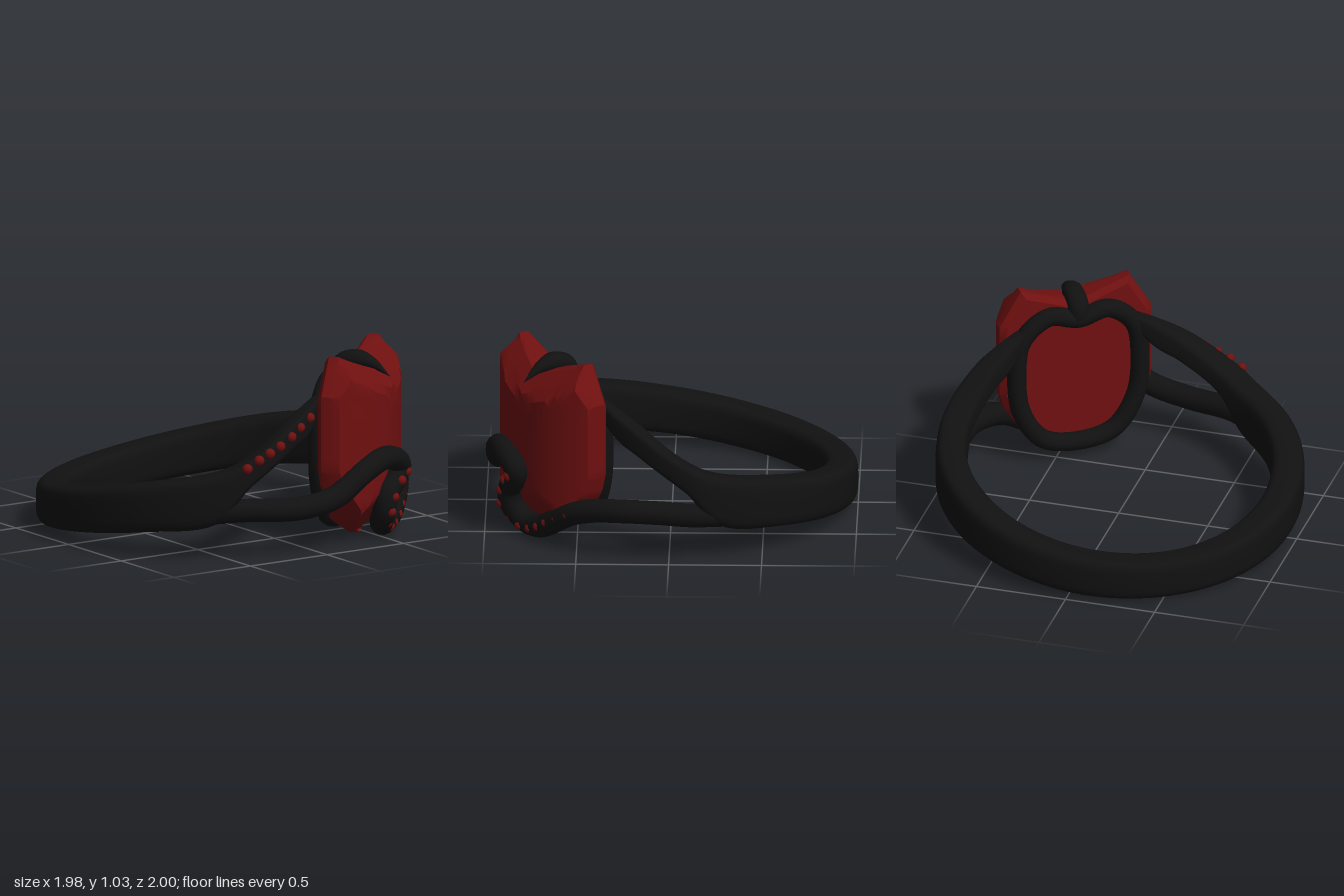
import * as THREE from 'three';
import { toCreasedNormals } from 'three/addons/utils/BufferGeometryUtils.js';

const V = (x, y, z) => new THREE.Vector3(x, y, z);

// Skin a list of equally long closed cross-sections
function loft(sections) {
  const n = sections[0].length, pos = [], idx = [];
  sections.forEach(s => s.forEach(p => pos.push(p.x, p.y, p.z)));
  for (let i = 0; i < sections.length - 1; i++) {
    for (let j = 0; j < n; j++) {
      const a = i * n + j, b = i * n + (j + 1) % n;
      idx.push(a, b, a + n, b, b + n, a + n);
    }
  }
  const g = new THREE.BufferGeometry();
  g.setAttribute('position', new THREE.Float32BufferAttribute(pos, 3));
  g.setIndex(idx);
  g.computeVertexNormals();
  return g;
}

// Band that thins into the two upper shoulders; keys: angle, radius, y, half depth, half height
function bandGeometry() {
  const half = [
    [26, 0.75, 0.78, 0.035, 0.05], [35, 0.775, 0.7, 0.055, 0.075], [45, 0.815, 0.625, 0.07, 0.075],
    [60, 0.88, 0.475, 0.08, 0.08], [72, 0.9, 0.335, 0.085, 0.14], [95, 0.91, 0.275, 0.09, 0.135],
    [125, 0.91, 0.195, 0.09, 0.122], [152, 0.91, 0.14, 0.09, 0.115]
  ];
  const keys = [...half, [180, 0.91, 0.12, 0.09, 0.11],
    ...half.slice().reverse().map(k => [360 - k[0], ...k.slice(1)])];
  const path = new THREE.CatmullRomCurve3(keys.map(k => V(k[0], k[1], k[2])), false, 'catmullrom');
  const size = new THREE.CatmullRomCurve3(keys.map(k => V(k[3], k[4], 0)), false, 'catmullrom');
  const soft = c => Math.sign(c) * Math.pow(Math.abs(c), 0.5);
  const sections = [];
  for (let i = 0; i <= 160; i++) {
    const p = path.getPoint(i / 160), s = size.getPoint(i / 160), f = p.x * Math.PI / 180;
    const ring = [];
    for (let j = 0; j < 24; j++) {
      const t = j / 24 * Math.PI * 2, r = p.y + s.x * soft(Math.sin(t));
      ring.push(V(r * Math.sin(f), p.z + s.y * soft(Math.cos(t)), r * Math.cos(f)));
    }
    sections.push(ring);
  }
  return loft(sections);
}

// Shield-shaped stone with a notched top and a domed, bevelled front
function stoneGeometry() {
  const side = [[0, 0.01], [0.27, 0.13], [0.4, 0.33], [0.43, 0.43], [0.43, 0.84], [0.31, 1.04]];
  const corners = [...side, [0, 0.93], ...side.slice(1).reverse().map(p => [-p[0], p[1]])];
  const outline = [];
  corners.forEach((p, i) => {
    const q = corners[(i + 1) % corners.length];
    for (let k = 0; k < 6; k++) {
      outline.push([p[0] + (q[0] - p[0]) * k / 6, p[1] + (q[1] - p[1]) * k / 6]);
    }
  });
  const front = (u, y) => Math.min(
    0.98 - 0.16 * Math.pow(Math.abs(u) / 0.43, 2.4),
    0.98 - 0.2 * Math.max(0, y - 0.82) / 0.22,
    0.98 - 0.22 * Math.pow(Math.max(0, 0.3 - y) / 0.29, 1.3));
  const ring = (s, depth) => outline.map(([u, y]) => {
    const a = u * s, b = 0.5 + (y - 0.5) * s;
    return V(a, b, depth ?? front(a, b));
  });
  const g = loft([ring(0, 0.7), ring(0.93, 0.7), ring(1, 0.73), ring(1, 0.785),
    ...[0.97, 0.92, 0.85, 0.75, 0.62, 0.48, 0.32, 0.16, 0].map(s => ring(s))]);
  return toCreasedNormals(g, 0.45);
}

// Claw that tapers from the frame over the notch
function prongGeometry() {
  const path = new THREE.CatmullRomCurve3([V(0, 0.84, 0.675), V(0, 0.93, 0.685),
    V(0, 0.965, 0.75), V(0, 0.95, 0.86), V(0, 0.885, 0.965)]);
  const sections = [];
  for (let i = 0; i <= 24; i++) {
    const t = i / 24, p = path.getPoint(t), N = V(1, 0, 0).cross(path.getTangent(t));
    const r = 0.052 * (t < 0.6 ? 1 : Math.max(0.02, 1 - (t - 0.6) / 0.4));
    const ring = [];
    for (let j = 0; j < 14; j++) {
      const a = j / 14 * Math.PI * 2;
      ring.push(p.clone().addScaledVector(N, r * Math.cos(a)).add(V(r * 1.1 * Math.sin(a), 0, 0)));
    }
    sections.push(ring);
  }
  return loft(sections);
}

export function createModel() {
  const black = new THREE.MeshStandardMaterial({ color: 0x111111 });
  black.name = 'black metal';
  const red = new THREE.MeshStandardMaterial({ color: 0x701010 });
  red.name = 'dark red stone';

  const model = new THREE.Group();
  model.name = 'ring';
  const add = (parent, name, geometry, material) => {
    const m = new THREE.Mesh(geometry, material);
    m.name = name;
    parent.add(m);
    return m;
  };

  // Parts symmetric about the direction the stone faces
  const setting = new THREE.Group();
  setting.name = 'setting';
  setting.rotation.y = 0.614;
  model.add(setting);
  add(setting, 'band', bandGeometry(), black);
  add(setting, 'mainStone', stoneGeometry(), red);
  add(setting, 'prong', prongGeometry(), black);

  // Open frame behind the stone
  const rim = [[0.2, 0.145], [0.32, 0.32], [0.35, 0.55], [0.315, 0.77], [0.17, 0.885]];
  const frame = new THREE.CatmullRomCurve3([[0, 0.1], ...rim, [0, 0.85],
    ...rim.slice().reverse().map(p => [-p[0], p[1]])].map(p => V(p[0], p[1], 0.68)), true);
  add(setting, 'stoneFrame', new THREE.TubeGeometry(frame, 120, 0.052, 14, true), black);

  // Lower strand that swirls across the stone and back to the other side
  const swirl = new THREE.CatmullRomCurve3([
    [-0.72, 0.25, 0.56], [-0.6, 0.255, 0.69], [-0.4, 0.27, 0.82], [-0.12, 0.26, 0.905], [0.1, 0.3, 0.93],
    [0.28, 0.415, 0.935], [0.42, 0.47, 0.915], [0.53, 0.45, 0.87], [0.59, 0.4, 0.83], [0.55, 0.325, 0.84],
    [0.485, 0.26, 0.865], [0.47, 0.17, 0.86], [0.485, 0.1, 0.81], [0.54, 0.072, 0.75], [0.63, 0.095, 0.68],
    [0.7, 0.145, 0.62], [0.78, 0.215, 0.53], [0.85, 0.26, 0.41], [0.91, 0.28, 0.24], [0.92, 0.275, 0.05],
    [0.91, 0.26, -0.12], [0.87, 0.25, -0.28]
  ].map(p => V(...p)));
  add(model, 'swirlStrand', new THREE.TubeGeometry(swirl, 260, 0.064, 14), black);

  // Rows of small round stones
  const rows = {
    swirlGem: [[0.61, 0.37, 0.87], [0.56, 0.33, 0.89], [0.5, 0.25, 0.91], [0.48, 0.17, 0.91],
      [0.49, 0.1, 0.86], [0.54, 0.065, 0.81], [0.6, 0.07, 0.755], [0.66, 0.1, 0.71], [0.71, 0.14, 0.665],
      [0.76, 0.18, 0.61], [0.81, 0.22, 0.55], [0.85, 0.25, 0.485], [0.88, 0.265, 0.415]],
    shoulderGem: [[-0.43, 0.51, 0.87], [-0.36, 0.55, 0.88], [-0.29, 0.58, 0.88], [-0.22, 0.61, 0.875],
      [-0.14, 0.65, 0.865], [-0.07, 0.69, 0.845], [0.01, 0.73, 0.82]]
  };
  const gem = new THREE.IcosahedronGeometry(0.029, 1);
  for (const [name, row] of Object.entries(rows)) {
    row.forEach(p => add(model, name, gem, red).position.set(...p));
  }
  return model;
}
